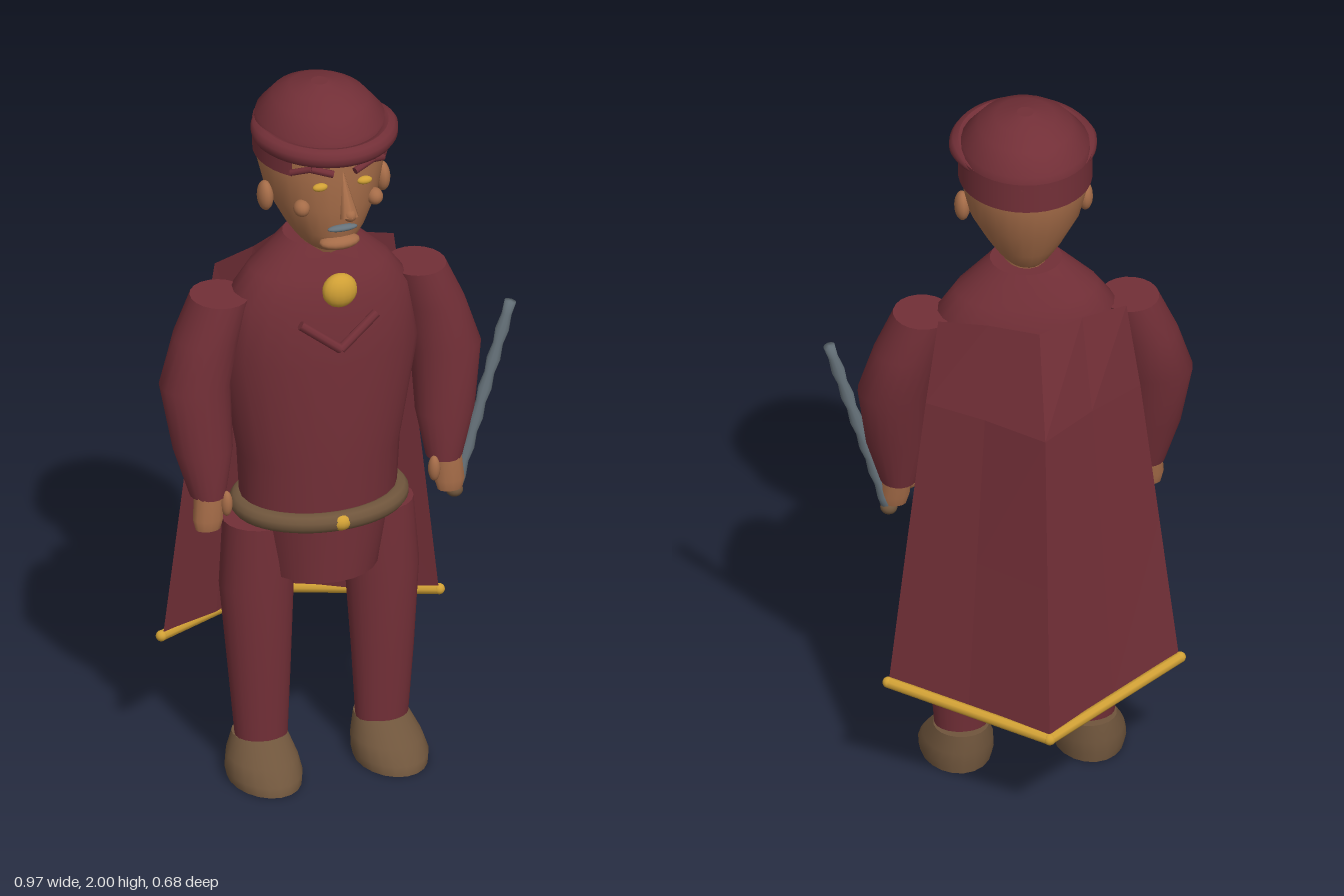
import * as THREE from 'three';

const mat = (name, color, side = THREE.FrontSide) => {
  const m = new THREE.MeshStandardMaterial({ color, side });
  m.name = name;
  return m;
};

// Stacks elliptical cross-sections [y, cx, cz, rx, rz] from bottom to top, with flat caps
function loft(sections, n = 24) {
  const pos = [], idx = [];
  const ring = ([y, cx, cz, rx, rz]) => {
    const start = pos.length / 3;
    for (let j = 0; j < n; j++) {
      const a = (j / n) * Math.PI * 2;
      pos.push(cx + rx * Math.cos(a), y, cz + rz * Math.sin(a));
    }
    return start;
  };
  const starts = sections.map(ring);
  for (let i = 0; i + 1 < starts.length; i++) {
    for (let j = 0; j < n; j++) {
      const k = (j + 1) % n;
      const a = starts[i] + j, b = starts[i] + k, c = starts[i + 1] + j, d = starts[i + 1] + k;
      idx.push(a, c, b, b, c, d);
    }
  }
  for (const [s, top] of [[sections[0], false], [sections.at(-1), true]]) {
    const r = ring(s), centre = pos.length / 3;
    pos.push(s[1], s[0], s[2]);
    for (let j = 0; j < n; j++) {
      const k = (j + 1) % n;
      idx.push(centre, r + (top ? k : j), r + (top ? j : k));
    }
  }
  const g = new THREE.BufferGeometry();
  g.setAttribute('position', new THREE.Float32BufferAttribute(pos, 3));
  g.setIndex(idx);
  g.computeVertexNormals();
  return g;
}

// Points on a horizontal ellipse
const ellipse = (y, cz, rx, rz, from, to, n) => Array.from({ length: n }, (_, i) => {
  const a = from + (to - from) * i / (n - 1);
  return new THREE.Vector3(rx * Math.cos(a), y, cz + rz * Math.sin(a));
});

export function createModel() {
  const cloth = mat('wine cloth', 0x722f37);
  const clothThin = mat('wine cloth thin', 0x722f37, THREE.DoubleSide);
  const skin = mat('skin', 0xa56c48);
  const leather = mat('brown leather', 0x6f553c);
  const gold = mat('gold', 0xd0a035);
  const steel = mat('grey', 0x66727a);

  const model = new THREE.Group();
  model.name = 'capedFigure';
  const body = new THREE.Group();
  body.name = 'body';
  body.position.x = -0.042;
  model.add(body);

  const add = (name, geometry, material) => {
    const m = new THREE.Mesh(geometry, material);
    m.name = name;
    body.add(m);
    return m;
  };
  const ball = (name, material, x, y, z, rx, ry, rz) => {
    const m = add(name, new THREE.SphereGeometry(1, 16, 12), material);
    m.position.set(x, y, z);
    m.scale.set(rx, ry, rz);
    return m;
  };
  const rod = (name, material, a, b, r, geometry) => {
    const p = new THREE.Vector3(...a), q = new THREE.Vector3(...b), d = q.clone().sub(p);
    const m = add(name, geometry ?? new THREE.CylinderGeometry(r, r, d.length(), 8), material);
    m.position.copy(p).lerp(q, geometry ? 0 : 0.5);
    m.quaternion.setFromUnitVectors(new THREE.Vector3(0, 1, 0), d.normalize());
    return m;
  };

  // Torso, tunic skirt and belt
  add('torso', loft([
    [0.75, 0, 0.07, 0.21, 0.16], [0.93, 0, 0.07, 0.22, 0.168], [1.23, 0, 0.07, 0.275, 0.172],
    [1.39, 0, 0.07, 0.25, 0.155], [1.47, 0, 0.07, 0.19, 0.13], [1.555, 0, 0.072, 0.095, 0.092],
  ]), cloth);
  add('tunicSkirt', loft([[0.59, 0, 0.08, 0.155, 0.155], [0.76, 0, 0.075, 0.19, 0.165]]), cloth);
  const beltPath = new THREE.CatmullRomCurve3(
    ellipse(0.775, 0.078, 0.215, 0.163, 0, Math.PI * 2, 25).slice(0, 24), true);
  add('belt', new THREE.TubeGeometry(beltPath, 48, 0.027, 10, true), leather);
  ball('buckle', gold, 0, 0.775, 0.25, 0.028, 0.023, 0.022);
  ball('brooch', gold, 0, 1.455, 0.237, 0.048, 0.048, 0.033);

  // Head
  add('head', loft([
    [1.56, 0, 0.108, 0.06, 0.1], [1.58, 0, 0.11, 0.078, 0.122], [1.62, 0, 0.107, 0.105, 0.142],
    [1.7, 0, 0.095, 0.147, 0.165], [1.8, 0, 0.083, 0.17, 0.182], [1.9, 0, 0.083, 0.165, 0.175],
  ], 28), skin);
  add('neck', loft([[1.52, 0, 0.09, 0.06, 0.075], [1.57, 0, 0.1, 0.06, 0.09]], 16), skin);
  const nose = add('nose', new THREE.ConeGeometry(0.026, 0.13, 8), skin);
  nose.position.set(0, 1.765, 0.285);
  nose.rotation.x = -0.4;
  ball('noseTip', skin, 0, 1.715, 0.312, 0.018, 0.018, 0.022);
  ball('mouth', steel, 0, 1.65, 0.258, 0.042, 0.009, 0.014);
  ball('chin', skin, 0, 1.6, 0.235, 0.056, 0.02, 0.033);

  // Cap: dome, back skirt and tapering rolled brim
  add('capDome', loft([
    [1.87, 0, 0.085, 0.172, 0.19], [1.91, 0, 0.085, 0.168, 0.188], [1.96, 0, 0.085, 0.125, 0.143],
    [1.985, 0, 0.084, 0.08, 0.09], [2.0, 0, 0.082, 0.022, 0.024],
  ], 28), cloth);
  const skirt = add('capBack', new THREE.CylinderGeometry(1, 1, 0.085, 28, 1, true, 0.8, Math.PI * 2 - 1.6), clothThin);
  skirt.scale.set(0.176, 1, 0.19);
  skirt.position.set(0, 1.847, 0.085);
  const brimPath = new THREE.CatmullRomCurve3(ellipse(1.88, 0.1, 0.172, 0.199, -0.75, Math.PI + 0.75, 20));
  const brim = new THREE.TubeGeometry(brimPath, 48, 0.026, 10);
  const v = new THREE.Vector3(), p = brim.attributes.position;
  for (let i = 0; i < p.count; i++) {
    const u = brim.attributes.uv.getX(i);
    v.fromBufferAttribute(p, i).lerp(brimPath.getPointAt(u), 1 - Math.min(1, 5 * Math.min(u, 1 - u)));
    p.setXYZ(i, v.x, v.y, v.z);
  }
  brim.computeVertexNormals();
  add('capBrim', brim, cloth);

  // Mirrored parts
  for (const s of [1, -1]) {
    const side = s > 0 ? 'left' : 'right';
    ball(side + 'Eye', gold, s * 0.062, 1.78, 0.257, 0.021, 0.011, 0.012);
    ball(side + 'Cheek', skin, s * 0.102, 1.71, 0.225, 0.022, 0.023, 0.025);
    ball(side + 'Ear', skin, s * 0.163, 1.705, 0.113, 0.021, 0.042, 0.031);
    rod(side + 'BrowInner', cloth, [s * 0.03, 1.82, 0.272], [s * 0.085, 1.835, 0.252], 0.01);
    rod(side + 'BrowOuter', cloth, [s * 0.085, 1.835, 0.252], [s * 0.128, 1.815, 0.215], 0.009);
    rod(side + 'Chevron', cloth, [0, 1.285, 0.247], [s * 0.106, 1.365, 0.228], 0.013);
    add(side + 'Arm', loft([
      [0.86, s * 0.33, 0.13, 0.048, 0.052], [0.99, s * 0.338, 0.115, 0.08, 0.07],
      [1.17, s * 0.35, 0.085, 0.095, 0.088], [1.3, s * 0.315, 0.075, 0.088, 0.092],
      [1.41, s * 0.275, 0.07, 0.078, 0.086],
    ], 20), cloth);
    add(side + 'Hand', loft([
      [0.77, s * 0.338, 0.155, 0.034, 0.024], [0.8, s * 0.337, 0.153, 0.042, 0.032],
      [0.87, s * 0.333, 0.145, 0.04, 0.034],
    ], 12), skin);
    ball(side + 'Thumb', skin, s * 0.29, 0.84, 0.165, 0.016, 0.036, 0.018);
    add(side + 'Leg', loft([
      [0.09, s * 0.168, 0.097, 0.07, 0.058], [0.3, s * 0.172, 0.092, 0.084, 0.07],
      [0.55, s * 0.175, 0.078, 0.1, 0.088], [0.735, s * 0.165, 0.07, 0.097, 0.09],
    ], 20), cloth);
    add(side + 'Shoe', loft([
      [0, s * 0.176, 0.14, 0.094, 0.133], [0.025, s * 0.176, 0.136, 0.099, 0.131],
      [0.06, s * 0.174, 0.116, 0.093, 0.111], [0.11, s * 0.17, 0.085, 0.073, 0.073],
    ], 20), leather);
  }

  // Baton in the left hand
  const base = [0.352, 0.755, 0.15], tip = [0.512, 1.283, 0.14];
  const profile = [[0, 0], [0.016, 0]];
  for (let i = 0; i < 6; i++) profile.push([0.0185, 0.045 + i * 0.085], [0.0135, 0.09 + i * 0.085]);
  profile.push([0.016, 0.553], [0, 0.553]);
  rod('baton', steel, base, tip, 0,
    new THREE.LatheGeometry(profile.map(([x, y]) => new THREE.Vector2(x, y)), 10));
  ball('batonPommel', leather, 0.352, 0.76, 0.15, 0.023, 0.02, 0.023);

  // Cape: rows of [edge y, centre y, half width, centre z, edge z], folded along the back
  const rows = [
    [0.355, 0.3, 0.385, -0.325, -0.06], [0.78, 0.74, 0.335, -0.29, -0.05],
    [1.2, 1.18, 0.285, -0.252, -0.045], [1.445, 1.455, 0.25, -0.155, -0.035],
  ];
  const cols = [-1, -0.5, 0, 0.5, 1];
  const pos = [], idx = [];
  rows.forEach(([ye, yc, w, zc, ze], r) => cols.forEach((c, i) => {
    const t = Math.abs(c), sag = t === 0.5 ? 0.012 : 0;
    pos.push(c * w, yc + (ye - yc) * t, zc + (ze - zc) * t + sag);
    const a = r * 5 + i;
    if (r < 3 && i < 4) idx.push(a, a + 5, a + 1, a + 1, a + 5, a + 6);
  }));
  let cape = new THREE.BufferGeometry();
  cape.setAttribute('position', new THREE.Float32BufferAttribute(pos, 3));
  cape.setIndex(idx);
  cape = cape.toNonIndexed();
  cape.computeVertexNormals();
  add('cape', cape, clothThin);
  for (const s of [1, -1]) {
    rod('capeHem', gold, [0, 0.3, -0.325], [s * 0.388, 0.352, -0.065], 0.015);
    ball('capeHemEnd', gold, s * 0.388, 0.352, -0.065, 0.015, 0.015, 0.015);
  }
  ball('capeHemCorner', gold, 0, 0.3, -0.325, 0.016, 0.016, 0.016);

  return model;
}
